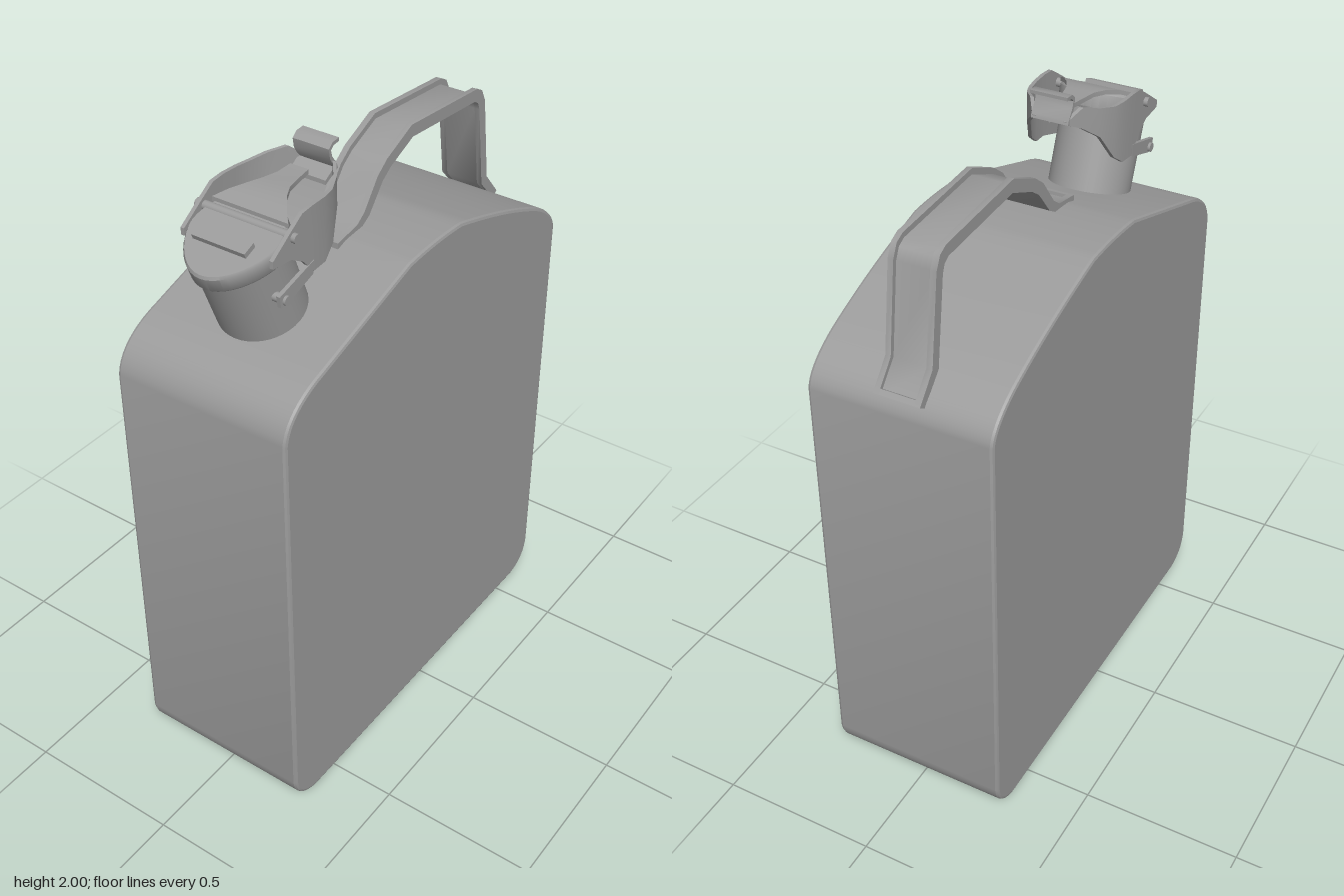
import * as THREE from 'three';
import { toCreasedNormals } from 'three/addons/utils/BufferGeometryUtils.js';

const material = new THREE.MeshStandardMaterial({ color: 0x9b9b9b });
const thinMaterial = new THREE.MeshStandardMaterial({ color: 0x9b9b9b, side: THREE.DoubleSide });

function add(parent, name, geometry, mat = material) {
  const mesh = new THREE.Mesh(geometry, mat);
  mesh.name = name;
  parent.add(mesh);
  return mesh;
}

// Extrudes an outline in the x-y plane from z0 to z1
function slab(points, z0, z1) {
  const shape = new THREE.Shape(points.map(([x, y]) => new THREE.Vector2(x, y)));
  const g = new THREE.ExtrudeGeometry(shape, { depth: z1 - z0, bevelEnabled: false });
  return toCreasedNormals(g.translate(0, 0, z0), 0.7);
}

// Joins closed cross-sections of equal length, with capped quad ends
function loft(sections) {
  const n = sections[0].length, index = [];
  for (let i = 0; i < sections.length - 1; i++)
    for (let j = 0; j < n; j++) {
      const a = i * n + j, b = i * n + (j + 1) % n;
      index.push(a, a + n, b, b, a + n, b + n);
    }
  const e = (sections.length - 1) * n;
  for (let j = 1; j < n - 1; j++) index.push(0, j, j + 1, e, e + j + 1, e + j);
  const g = new THREE.BufferGeometry();
  g.setAttribute('position', new THREE.Float32BufferAttribute(sections.flat(2), 3));
  g.setIndex(index);
  return toCreasedNormals(g, 0.7);
}

function pin(parent, name, x, y, z0, z1, r) {
  const m = add(parent, name, new THREE.CylinderGeometry(r, r, z1 - z0, 16).rotateX(Math.PI / 2));
  m.position.set(x, y, (z0 + z1) / 2);
}

function createBody(root) {
  const s = new THREE.Shape();
  s.moveTo(-0.6, 0);
  s.lineTo(0.6, 0);
  s.quadraticCurveTo(0.688, 0.015, 0.698, 0.1);
  s.lineTo(0.698, 1.41);
  s.bezierCurveTo(0.693, 1.46, 0.63, 1.51, 0.55, 1.545);
  s.quadraticCurveTo(0.37, 1.625, 0.13, 1.688);
  s.quadraticCurveTo(0, 1.698, -0.13, 1.683);
  s.lineTo(-0.53, 1.557);
  s.bezierCurveTo(-0.63, 1.53, -0.693, 1.48, -0.703, 1.41);
  s.lineTo(-0.703, 0.1);
  s.quadraticCurveTo(-0.693, 0.015, -0.6, 0);
  const bevel = 0.01;
  const g = new THREE.ExtrudeGeometry(s, {
    depth: 0.56, curveSegments: 10, bevelSegments: 2,
    bevelSize: bevel, bevelThickness: bevel, bevelOffset: -bevel,
  });
  add(root, 'canBody', toCreasedNormals(g.translate(0, 0, -0.28), 0.35));
}

function createHandle(root) {
  const handle = new THREE.Group();
  handle.name = 'carryHandle';
  root.add(handle);
  const outer = [[-0.167, 1.69], [-0.075, 1.705], [-0.04, 1.73], [0.024, 1.815], [0.07, 1.85], [0.193, 1.905],
    [0.545, 1.88], [0.575, 1.865], [0.595, 1.825], [0.632, 1.55], [0.7, 1.47]];
  const inner = [[-0.167, 1.667], [-0.06, 1.683], [-0.015, 1.71], [0.05, 1.79], [0.09, 1.818], [0.2, 1.865],
    [0.535, 1.842], [0.555, 1.83], [0.565, 1.805], [0.602, 1.535], [0.677, 1.455]];
  const mix = (a, b, t) => [a[0] + (b[0] - a[0]) * t, a[1] + (b[1] - a[1]) * t];
  const floor = inner.map((p, i) => mix(p, outer[i], 0.55));

  // Raised rims on both edges, with a recessed strip between them
  const rim = [...inner, ...[...outer].reverse()];
  add(handle, 'handleRimLeft', slab(rim, 0.055, 0.072));
  add(handle, 'handleRimRight', slab(rim, -0.074, -0.055));
  add(handle, 'handleStrip', slab([...inner, ...floor.reverse()], -0.055, 0.055));

  // Rims closing the recess at each foot
  for (const [a, b] of [[0, 1], [10, 9]]) {
    const t = 0.16;
    add(handle, 'handleFootRim', slab(
      [inner[a], mix(inner[a], inner[b], t), mix(outer[a], outer[b], t), outer[a]], -0.055, 0.055));
  }
}

function createSpout(root) {
  // Tilted neck and lid
  const spout = new THREE.Group();
  spout.name = 'spout';
  spout.position.set(-0.418, 1.59, 0);
  spout.rotation.z = 0.374;
  root.add(spout);
  add(spout, 'neck', new THREE.CylinderGeometry(0.128, 0.128, 0.34, 40)).position.y = 0.08;

  // Lid narrows towards its free edge
  const lidProfile = [[0, 0.24], [0.148, 0.24], [0.152, 0.246], [0.152, 0.288], [0.146, 0.296], [0, 0.296]];
  const lid = new THREE.LatheGeometry(lidProfile.map(([x, y]) => new THREE.Vector2(x, y)), 40);
  const p = lid.attributes.position;
  for (let i = 0; i < p.count; i++)
    p.setZ(i, p.getZ(i) * (0.93 + 1.2 * Math.min(0, p.getX(i))));
  add(spout, 'lid', toCreasedNormals(lid, 0.6));
  add(spout, 'lidTab', new THREE.BoxGeometry(0.042, 0.03, 0.175)).position.set(-0.032, 0.297, -0.006);
}

function createLatch(root) {
  const latch = new THREE.Group();
  latch.name = 'latch';
  root.add(latch);

  // Side arms converge at the tip: x, half width, bottom, top
  const stations = [[-0.555, 0.152, 1.828, 1.85], [-0.48, 0.152, 1.82, 1.9], [-0.43, 0.152, 1.79, 1.932],
    [-0.385, 0.152, 1.74, 1.936], [-0.33, 0.15, 1.742, 1.935], [-0.285, 0.142, 1.775, 1.935],
    [-0.235, 0.12, 1.855, 1.945], [-0.19, 0.085, 1.892, 1.956], [-0.15, 0.056, 1.913, 1.922]];
  for (const side of [1, -1]) {
    add(latch, side > 0 ? 'latchArmLeft' : 'latchArmRight', loft(stations.map(([x, w, b, t]) =>
      [[x, b, side * w], [x, t, side * w], [x, t, side * (w - 0.012)], [x, b, side * (w - 0.012)]])), thinMaterial);
    // Hinge link under each arm
    const z = side > 0 ? 0.142 : -0.154;
    add(latch, 'hingeLink', slab([[-0.53, 1.7], [-0.5, 1.7], [-0.39, 1.735], [-0.385, 1.775], [-0.535, 1.735]],
      z, z + 0.012));
    pin(latch, 'hingeStud', -0.51, 1.715, side * 0.14 - 0.022, side * 0.14 + 0.022, 0.014);
  }
  pin(latch, 'latchPin', -0.468, 1.88, -0.165, 0.165, 0.014);

  // Tongue tapering from the pin: x, y, half width
  const tongue = [[-0.455, 1.905, 0.125], [-0.42, 1.922, 0.095], [-0.38, 1.932, 0.065],
    [-0.34, 1.935, 0.045], [-0.29, 1.934, 0.034], [-0.24, 1.938, 0.03]];
  add(latch, 'latchTongue', loft(tongue.map(([x, y, w]) =>
    [[x, y, w], [x, y, -w], [x, y - 0.014, -w], [x, y - 0.014, w]])), thinMaterial);

  // Slanted tip sheet curling back into a thumb hook
  add(latch, 'thumbHook', slab([[-0.205, 1.885], [-0.148, 1.913], [-0.152, 1.926], [-0.174, 1.957], [-0.179, 1.976],
    [-0.168, 1.987], [-0.142, 1.99], [-0.142, 2.0], [-0.172, 1.998], [-0.189, 1.983], [-0.184, 1.953],
    [-0.165, 1.922], [-0.205, 1.898]], -0.06, 0.06));
}

export function createModel() {
  const root = new THREE.Group();
  root.name = 'fuelCan';
  createBody(root);
  createHandle(root);
  createSpout(root);
  createLatch(root);
  return root;
}
